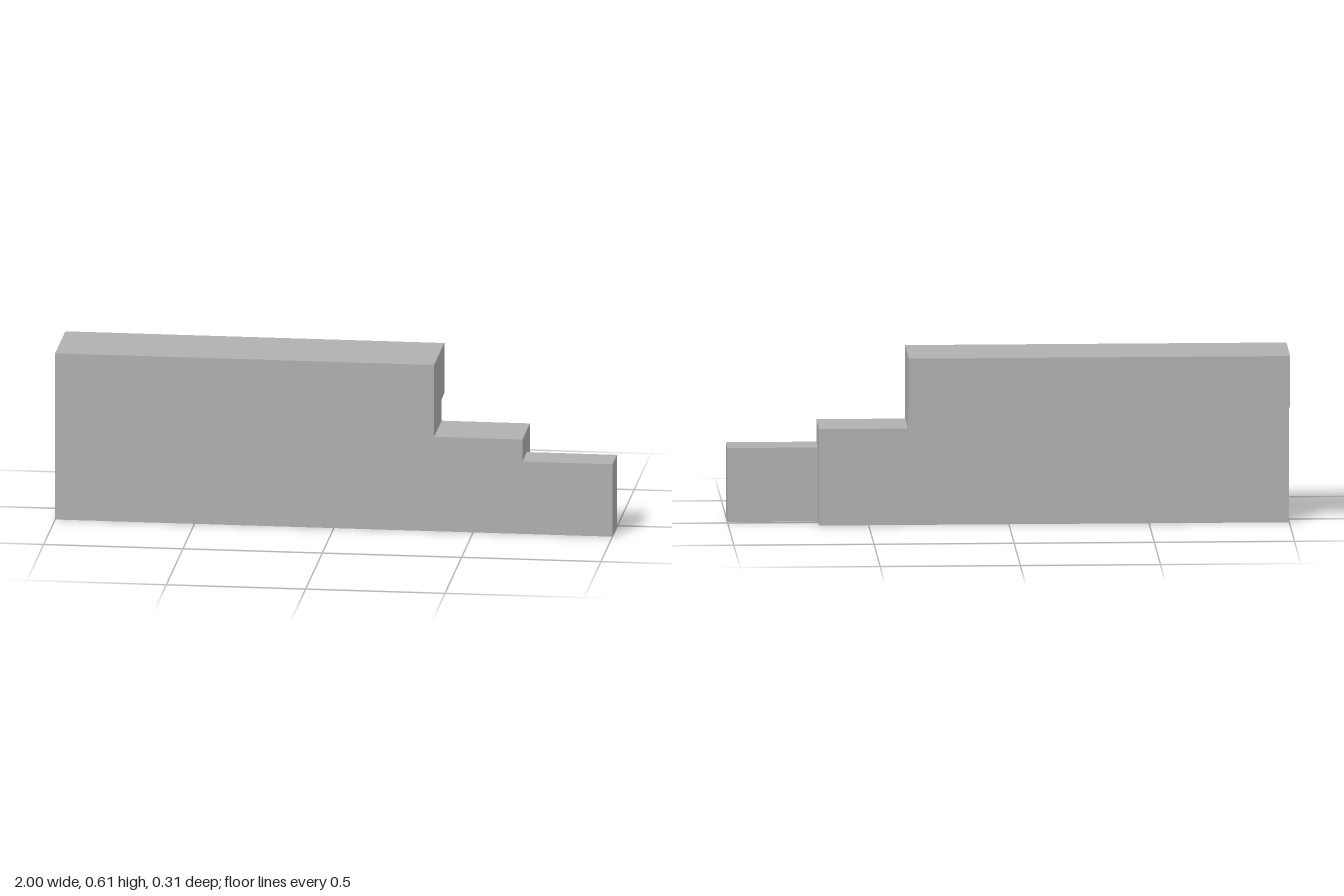
import * as THREE from 'three';

const FRONT = 0.153;

export function createModel() {
  const group = new THREE.Group();
  const grey = new THREE.MeshStandardMaterial({ color: 0xb0b0b0 });
  grey.name = 'grey';

  // Extrudes a [z, y] cross-section along x from x0 to x1
  function addBar(name, x0, x1, section) {
    const shape = new THREE.Shape(section.map(([z, y]) => new THREE.Vector2(-z, y)));
    const geometry = new THREE.ExtrudeGeometry(shape, { depth: x1 - x0, bevelEnabled: false });
    geometry.rotateY(Math.PI / 2).translate(x0, 0, 0);
    const mesh = new THREE.Mesh(geometry, grey);
    mesh.name = name;
    group.add(mesh);
  }

  // Rectangular cross-section flush with the front face
  const rectangle = (back, height) => [[FRONT, 0], [back, 0], [back, height], [FRONT, height]];

  // Tall body with a ledge overhanging the back
  addBar('mainBody', -1, 0.36, [
    [FRONT, 0], [-0.072, 0], [-0.072, 0.427], [-0.153, 0.427], [-0.153, 0.613], [FRONT, 0.613],
  ]);

  // Two blocks stepping down towards the left end
  addBar('middleStep', 0.36, 0.677, rectangle(-0.072, 0.348));
  addBar('endStep', 0.677, 1, rectangle(0.021, 0.267));

  return group;
}
